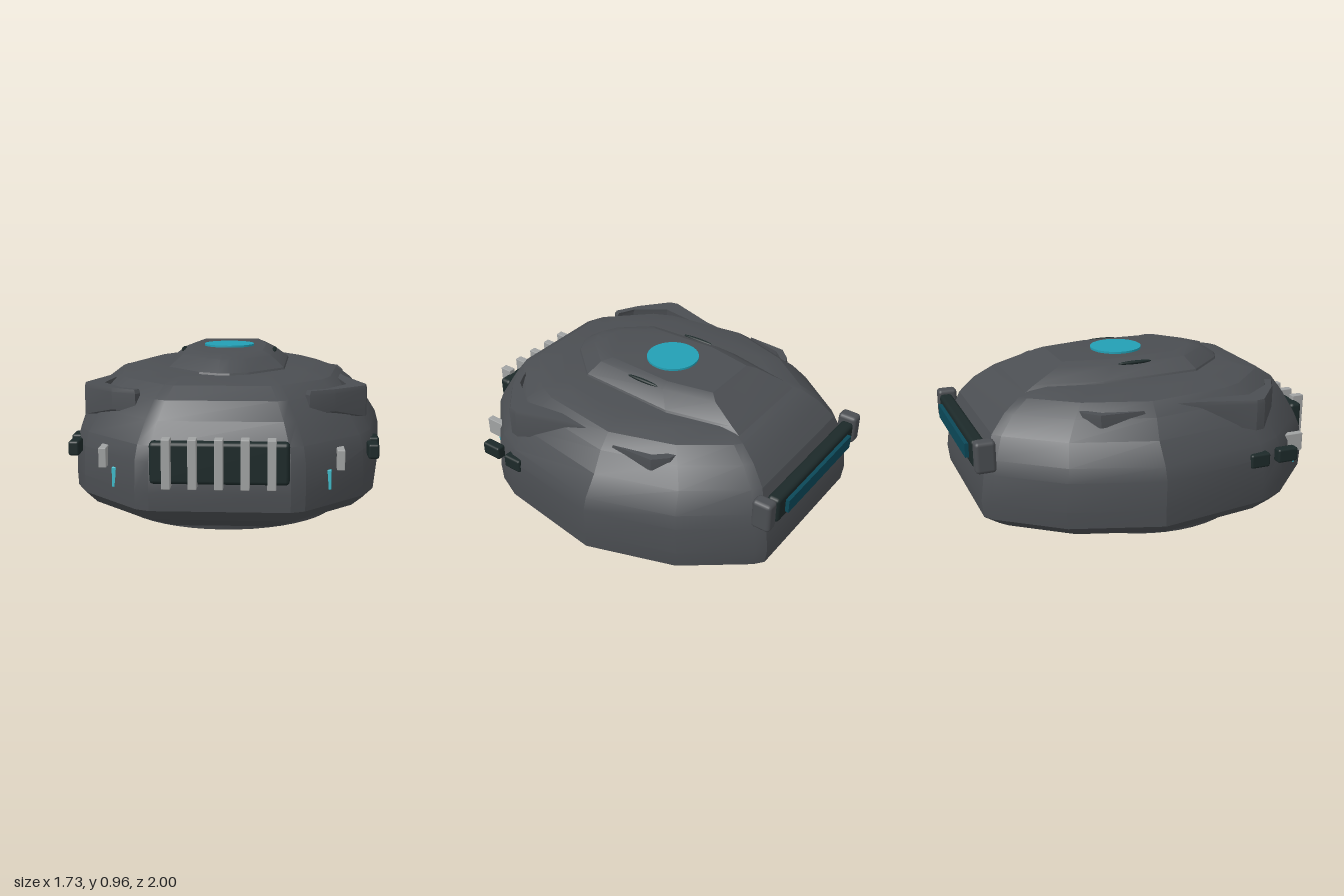
import * as THREE from 'three';
import { toCreasedNormals } from 'three/addons/utils/BufferGeometryUtils.js';
import { RoundedBoxGeometry } from 'three/addons/geometries/RoundedBoxGeometry.js';

const material = (name, color) => Object.assign(new THREE.MeshStandardMaterial({ color }), { name });

// Closed solid through stacked rings of [x, y, z], each counterclockwise from above
function loft(rings, crease = 0.35) {
  const n = rings[0].length;
  const pos = rings.flat(2);
  const index = [];
  for (let k = 0; k < rings.length - 1; k++) {
    for (let i = 0; i < n; i++) {
      const j = (i + 1) % n;
      const a = k * n + i, b = k * n + j, c = b + n, d = a + n;
      index.push(a, b, c, a, c, d);
    }
  }
  const last = rings.length - 1;
  const flat = (r) => r.map(([x, , z]) => new THREE.Vector2(x, -z));
  for (const [a, b, c] of THREE.ShapeUtils.triangulateShape(flat(rings[0]), [])) index.push(a, c, b);
  for (const [a, b, c] of THREE.ShapeUtils.triangulateShape(flat(rings[last]), []))
    index.push(last * n + a, last * n + b, last * n + c);
  const g = new THREE.BufferGeometry();
  g.setAttribute('position', new THREE.Float32BufferAttribute(pos, 3));
  g.setIndex(index);
  return toCreasedNormals(g, crease);
}

// Full outline from its +x half, listed front to back
const mirrorOutline = (half) => [...half, ...half.slice().reverse().map(([x, z]) => [-x, z])];

// Layers are [y, half width, front z, back z]; the outline is fitted into each
function layeredBody(half, layers) {
  const w = Math.max(...half.map((p) => p[0]));
  const f = Math.max(...half.map((p) => p[1]));
  const b = Math.min(...half.map((p) => p[1]));
  const outline = mirrorOutline(half);
  return loft(layers.map(([y, lw, lf, lb]) =>
    outline.map(([x, z]) => [x * lw / w, y, lb + (z - b) * (lf - lb) / (f - b)])));
}

// Slab with a flat bevelled top and an underside following bottom(z)
function finGeometry(points, top, bottom, side) {
  const pts = side > 0 ? points : points.slice().reverse().map(([x, z]) => [-x, z]);
  const cx = pts.reduce((s, p) => s + p[0], 0) / pts.length;
  const cz = pts.reduce((s, p) => s + p[1], 0) / pts.length;
  const s = 0.96;
  return loft([
    pts.map(([x, z]) => [x, bottom(z), z]),
    pts.map(([x, z]) => [x, top - 0.02, z]),
    pts.map(([x, z]) => [cx + (x - cx) * s, top, cz + (z - cz) * s]),
  ]);
}

export function createModel() {
  const model = new THREE.Group();
  model.name = 'hoverPod';
  const hull = material('hull grey', 0x4b4e52);
  const dark = material('dark trim', 0x1c2929);
  const light = material('light grey', 0xa0a2a2);
  const cyan = material('cyan', 0x239fb4);
  const bright = material('bright cyan', 0x3fbccb);
  const screenBlue = material('deep teal', 0x0b4858);

  const add = (name, geometry, mat, x = 0, y = 0, z = 0) => {
    const mesh = new THREE.Mesh(geometry, mat);
    mesh.name = name;
    mesh.position.set(x, y, z);
    model.add(mesh);
    return mesh;
  };
  const box = (name, mat, x, y, z, w, h, d, r = 0.008) =>
    add(name, r ? new RoundedBoxGeometry(w, h, d, 2, r) : new THREE.BoxGeometry(w, h, d), mat, x, y, z);

  // Faceted main body
  add('hull', layeredBody(
    [[0.34, 0.93], [0.41, 0.9], [0.71, 0.6], [0.78, 0.45], [0.865, -0.14], [0.71, -0.6], [0.47, -0.91], [0.42, -0.95]],
    [
      [0.11, 0.61, 0.67, -0.65], [0.2, 0.8, 0.87, -0.86], [0.26, 0.86, 0.93, -0.94],
      [0.35, 0.865, 0.935, -0.95], [0.5, 0.86, 0.92, -0.93], [0.57, 0.84, 0.89, -0.91],
      [0.68, 0.77, 0.83, -0.87], [0.77, 0.69, 0.77, -0.79], [0.83, 0.61, 0.68, -0.7], [0.86, 0.5, 0.55, -0.58],
    ]), hull);

  // Raised canopy with its round lamp and side vents
  add('canopy', layeredBody(
    [[0.03, 0.54], [0.13, 0.49], [0.31, 0.28], [0.34, -0.28], [0.26, -0.65]],
    [[0.84, 0.35, 0.55, -0.66], [0.87, 0.335, 0.53, -0.61], [0.93, 0.26, 0.44, -0.47], [0.95, 0.21, 0.37, -0.43]]), hull);
  add('topLamp', new THREE.CylinderGeometry(0.14, 0.14, 0.02, 40), cyan, 0, 0.951, -0.065);

  // Underside plate, glowing ring and thruster core
  const cz = 0.06;
  add('bottomPlate', new THREE.CylinderGeometry(0.62, 0.61, 0.03, 48), hull, 0, 0.105, cz);
  const ringProfile = [[0.25, 0.1], [0.25, 0.065], [0.27, 0.045], [0.335, 0.045], [0.35, 0.06], [0.35, 0.1]]
    .map(([r, y]) => new THREE.Vector2(r, y));
  add('thrusterRing', toCreasedNormals(new THREE.LatheGeometry(ringProfile, 48), 0.6), cyan, 0, 0, cz);
  add('thrusterRecess', new THREE.CylinderGeometry(0.26, 0.26, 0.02, 40), dark, 0, 0.08, cz);
  add('thrusterCore', new THREE.CylinderGeometry(0.21, 0.21, 0.09, 40), bright, 0, 0.045, cz);

  // Front grille
  box('grillePanel', dark, 0, 0.498, 0.915, 0.665, 0.205, 0.07, 0.02);
  for (let i = -2; i <= 2; i++) box('grilleBar', light, i * 0.124, 0.505, 0.965, 0.042, 0.24, 0.07, 0.004);

  // Rear display
  box('rearFrame', dark, 0, 0.595, -0.945, 0.8, 0.145, 0.07, 0.02);
  box('rearScreen', screenBlue, 0, 0.595, -0.99, 0.66, 0.075, 0.02, 0);

  const brow = [[0.41, 0.65], [0.43, 0.685], [0.56, 0.61], [0.725, 0.47], [0.735, 0.42],
    [0.645, 0.13], [0.61, -0.09], [0.585, 0.1], [0.63, 0.43], [0.51, 0.6]];
  const browBottom = (z) => z > 0.52 ? 0.695 : z > 0.4 ? 0.645 : 0.645 + (0.4 - z) * 0.25;
  const rearFin = [[0.6, -0.37], [0.655, -0.16], [0.64, -0.39], [0.57, -0.46], [0.5, -0.48]];

  for (const s of [1, -1]) {
    add('canopyVent', new THREE.SphereGeometry(1, 16, 10), dark, s * 0.257, 0.931, -0.055).scale.set(0.012, 0.01, 0.095);
    add('browFin', finGeometry(brow, 0.805, browBottom, s), hull);
    add('rearFin', finGeometry(rearFin, 0.8, () => 0.735, s), hull);
    box('rearBracket', hull, s * 0.448, 0.6, -0.928, 0.075, 0.165, 0.105, 0.02);
    box('frontPeg', light, s * 0.583, 0.485, 0.735, 0.038, 0.1, 0.11, 0.004);
    box('frontLight', bright, s * 0.527, 0.388, 0.765, 0.022, 0.1, 0.05, 0.004);
    box('sideSensor', dark, s * 0.755, 0.498, 0.593, 0.055, 0.075, 0.115, 0.012);
    box('sideSensorRear', dark, s * 0.772, 0.498, 0.422, 0.055, 0.075, 0.11, 0.012);
  }
  return model;
}
